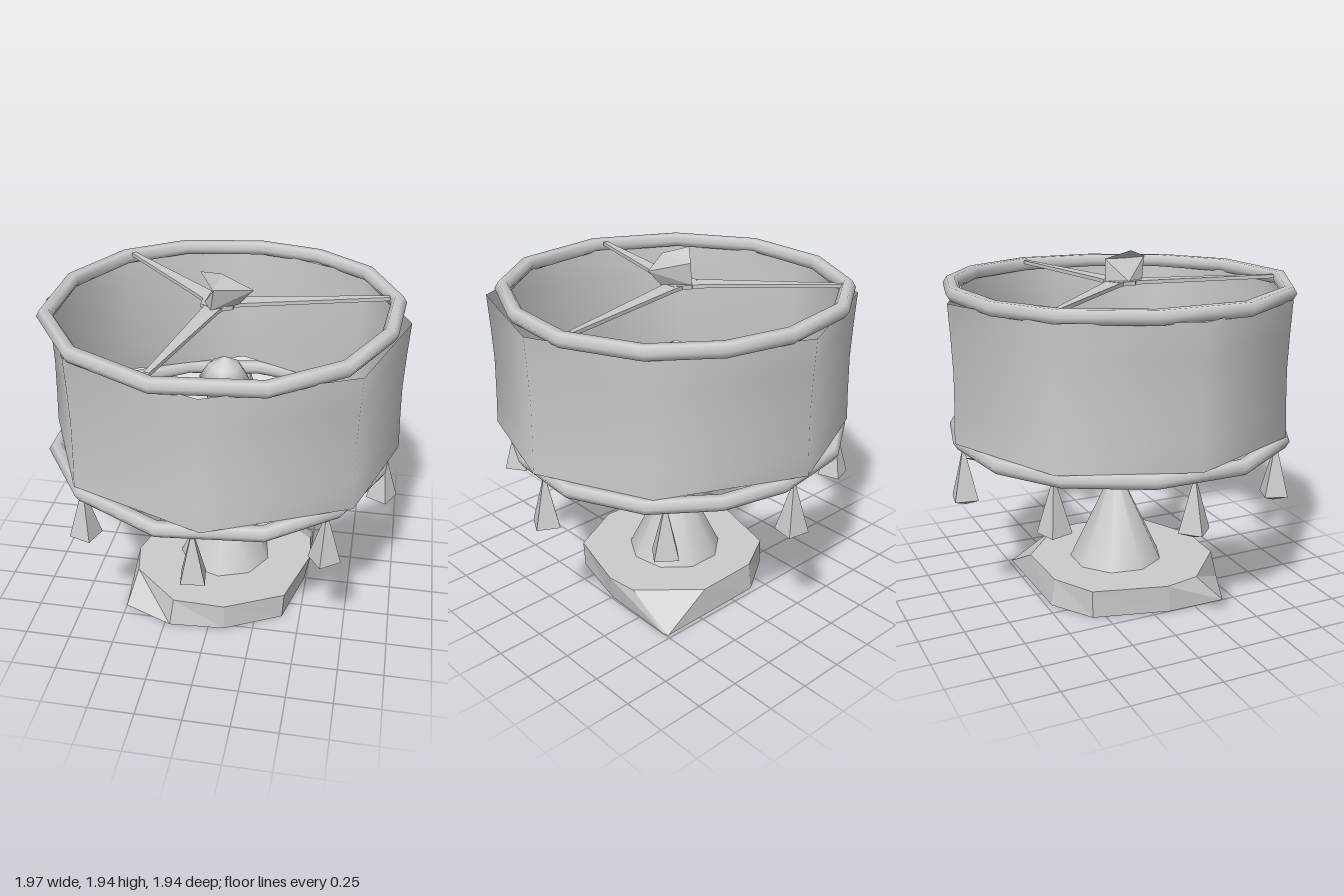
import * as THREE from 'three';
import { ConvexGeometry } from 'three/addons/geometries/ConvexGeometry.js';

const smooth = new THREE.MeshStandardMaterial({ color: 0xcccccc, side: THREE.DoubleSide });
const faceted = new THREE.MeshStandardMaterial({ color: 0xcccccc, side: THREE.DoubleSide, flatShading: true });

// Skin a surface over cross-sections, each an array of [x, y, z] points
function loft(sections, closeSections, closePoints) {
  const n = sections[0].length, m = sections.length, index = [];
  for (let i = 0; i < (closeSections ? m : m - 1); i++) {
    for (let j = 0; j < (closePoints ? n : n - 1); j++) {
      const a = i * n + j, b = i * n + (j + 1) % n;
      const c = ((i + 1) % m) * n + j, d = ((i + 1) % m) * n + (j + 1) % n;
      index.push(a, c, b, b, c, d);
    }
  }
  const geo = new THREE.BufferGeometry();
  geo.setAttribute('position', new THREE.Float32BufferAttribute(sections.flat(2), 3));
  geo.setIndex(index);
  geo.computeVertexNormals();
  return geo;
}

function lathe(points, sides) {
  return new THREE.LatheGeometry(points.map(([r, y]) => new THREE.Vector2(r, y)), sides);
}

export function createModel() {
  const model = new THREE.Group();
  const add = (name, geo, mat = smooth) => {
    const mesh = new THREE.Mesh(geo, mat);
    mesh.name = name;
    model.add(mesh);
    return mesh;
  };

  // Irregular base: open underneath, wall flaring out to two skewed corners
  const baseTop = [[-0.5, 0.08], [-0.39, -0.32], [-0.16, -0.45], [0.2, -0.46], [0.5, -0.2],
    [0.52, -0.02], [0.41, 0.37], [0.09, 0.53], [-0.2, 0.52], [-0.46, 0.28]];
  const baseBottom = [[-0.5, 0.1], [-0.39, -0.32], [-0.16, -0.47], [0.49, -0.48], [0.5, -0.45],
    [0.49, 0], [0.4, 0.37], [0.09, 0.53], [-0.22, 0.55], [-0.5, 0.43]];
  add('baseWall', loft([
    baseTop.map(([x, z]) => [x, 0.165, z]),
    baseBottom.map(([x, z]) => [x, 0.01, z]),
  ], false, true), faceted);
  const plate = new THREE.Shape(baseTop.map(([x, z]) => new THREE.Vector2(x, -z)));
  const hole = new THREE.Path();
  hole.absarc(0.01, 0, 0.24, 0, Math.PI * 2, true);
  plate.holes.push(hole);
  add('baseTop', new THREE.ShapeGeometry(plate, 10).rotateX(-Math.PI / 2).translate(0, 0.165, 0));

  // Conical stem, inverted bowl and a bulb that narrows to its foot
  add('stem', lathe([[0.265, 0.165], [0.025, 0.67]], 9)).position.x = 0.01;
  add('bowl', lathe([[0.025, 0.66], [0.265, 0.96]], 9)).position.set(0.01, 0, 0.02);
  add('bowlTop', lathe([[0.265, 0.96], [0, 0.97]], 9)).position.set(0.01, 0, 0.02);
  add('bulb', lathe([[0.02, 0.96], [0.14, 1.33], [0.09, 1.41], [0, 1.46]], 8));

  // Open shade: an uneven eight-sided drum, slightly waisted
  const drum = [[0.975, 0], [0.77, 0.64], [0.05, 0.975], [-0.67, 0.69],
    [-0.97, 0.02], [-0.71, -0.65], [-0.04, -0.95], [0.7, -0.61]];
  const levels = [[0.99, 0.995], [1.15, 0.988], [1.36, 0.983], [1.55, 0.99], [1.73, 1]];
  add('shade', loft(levels.map(([y, s]) => drum.map(([x, z]) => [x * s, y, z * s])), false, true));

  // Uneven polygonal rims, as corner points on the centre line
  const rim = [[0.07, -0.88], [0.42, -0.8], [0.72, -0.58], [0.9, -0.2], [0.87, 0.21], [0.685, 0.61], [0.345, 0.875],
    [-0.18, 0.925], [-0.625, 0.69], [-0.89, 0.285], [-0.89, -0.2], [-0.685, -0.6], [-0.37, -0.815]];
  for (const [name, y] of [['lowerRim', 0.955], ['upperRim', 1.755]]) {
    const sections = rim.map(([x, z]) => {
      const r = Math.hypot(x, z);
      return Array.from({ length: 6 }, (_, k) => {
        const a = (k / 6) * Math.PI * 2;
        const s = 1 + 0.043 * Math.cos(a) / r;
        return [x * s, y + 0.041 * Math.sin(a), z * s];
      });
    });
    add(name, loft(sections, true, true));
  }

  // Three flat tapering arms meeting at a hub
  const arms = [[-0.64, -0.6], [0.85, -0.21], [-0.21, 0.86]];
  for (const [x, z] of arms) {
    const dx = x + 0.03, dz = z, len = Math.hypot(dx, dz);
    const arm = new THREE.Shape([[0, -0.06], [0.13, -0.045], [len, -0.014], [len, 0.014], [0.13, 0.045], [0, 0.06]]
      .map(([u, v]) => new THREE.Vector2(u, v)));
    const mesh = add('shadeArm', new THREE.ExtrudeGeometry(arm, { depth: 0.02, bevelEnabled: false }).rotateX(-Math.PI / 2), faceted);
    mesh.rotation.y = Math.atan2(-dz, dx);
    mesh.position.set(-0.03, 1.762, 0);
  }
  add('hub', new THREE.CylinderGeometry(0.1, 0.1, 0.022, 6).translate(-0.03, 1.773, 0.01), faceted);

  // Tilted finial with a thin blade on top
  const v = (x, y, z) => new THREE.Vector3(x, y, z);
  add('finial', new ConvexGeometry([v(-0.1, 1.78, 0.03), v(-0.05, 1.78, 0.13), v(-0.04, 1.78, -0.08), v(0.08, 1.78, 0.03),
    v(-0.03, 1.9, 0.15), v(-0.03, 1.9, -0.08), v(0.16, 1.87, 0.04)]), faceted);
  add('finialBlade', new ConvexGeometry([v(-0.12, 1.95, 0.03), v(-0.03, 1.9, 0.16), v(-0.03, 1.9, -0.08), v(-0.01, 1.885, 0.03)]), faceted);

  // Eight hanging pyramid drops around the lower rim
  for (let i = 0; i < 8; i++) {
    const a = (i / 8) * Math.PI * 2;
    const drop = add('drop', lathe([[0, 0.63], [0.088, 0.665], [0.01, 0.93]], 4), faceted);
    drop.position.set(0.9 * Math.cos(a), 0, 0.9 * Math.sin(a) + 0.01);
    drop.rotation.y = 0.3 + i * 1.1;
  }
  return model;
}
